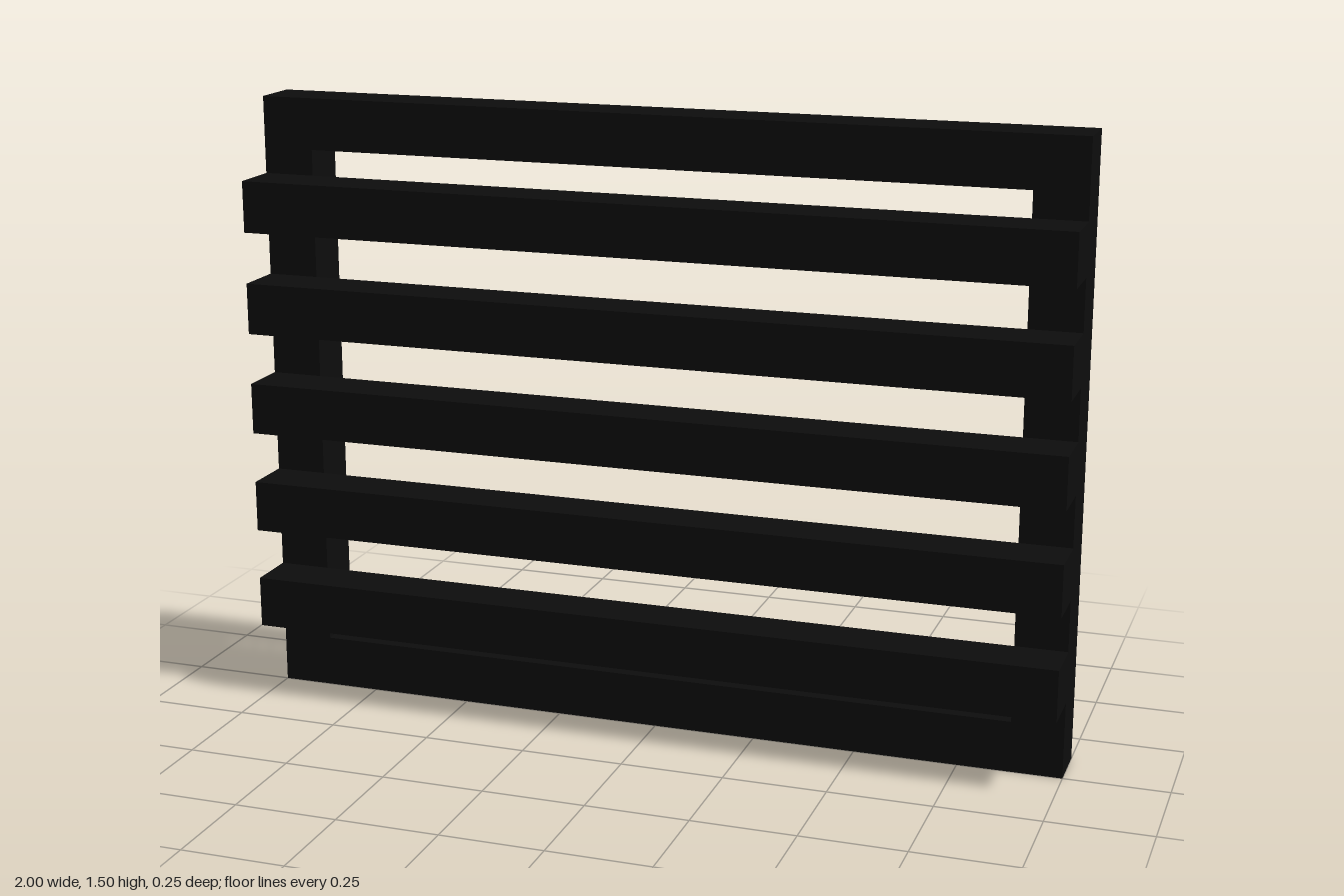
import * as THREE from 'three';

export function createModel() {
  const model = new THREE.Group();
  model.name = 'slattedFrame';
  const black = new THREE.MeshStandardMaterial({ color: 0x0d0d0d });
  black.name = 'matte black';

  const width = 2, height = 1.5, bar = 0.125;

  // Rectangular frame with an open middle, behind the slats
  const outline = new THREE.Shape([
    new THREE.Vector2(-width / 2, 0),
    new THREE.Vector2(width / 2, 0),
    new THREE.Vector2(width / 2, height),
    new THREE.Vector2(-width / 2, height),
  ]);
  const inX = width / 2 - bar;
  outline.holes.push(new THREE.Path([
    new THREE.Vector2(-inX, bar),
    new THREE.Vector2(-inX, height - bar),
    new THREE.Vector2(inX, height - bar),
    new THREE.Vector2(inX, bar),
  ]));
  const frame = new THREE.Mesh(
    new THREE.ExtrudeGeometry(outline, { depth: bar, bevelEnabled: false }), black);
  frame.name = 'frame';
  frame.position.z = -bar;
  model.add(frame);

  // Five evenly spaced horizontal slats across the front
  const slatGeometry = new THREE.BoxGeometry(width, bar, bar);
  for (let i = 1; i <= 5; i++) {
    const slat = new THREE.Mesh(slatGeometry, black);
    slat.name = `slat${i}`;
    slat.position.set(0, i * 0.25, bar / 2);
    model.add(slat);
  }

  return model;
}
